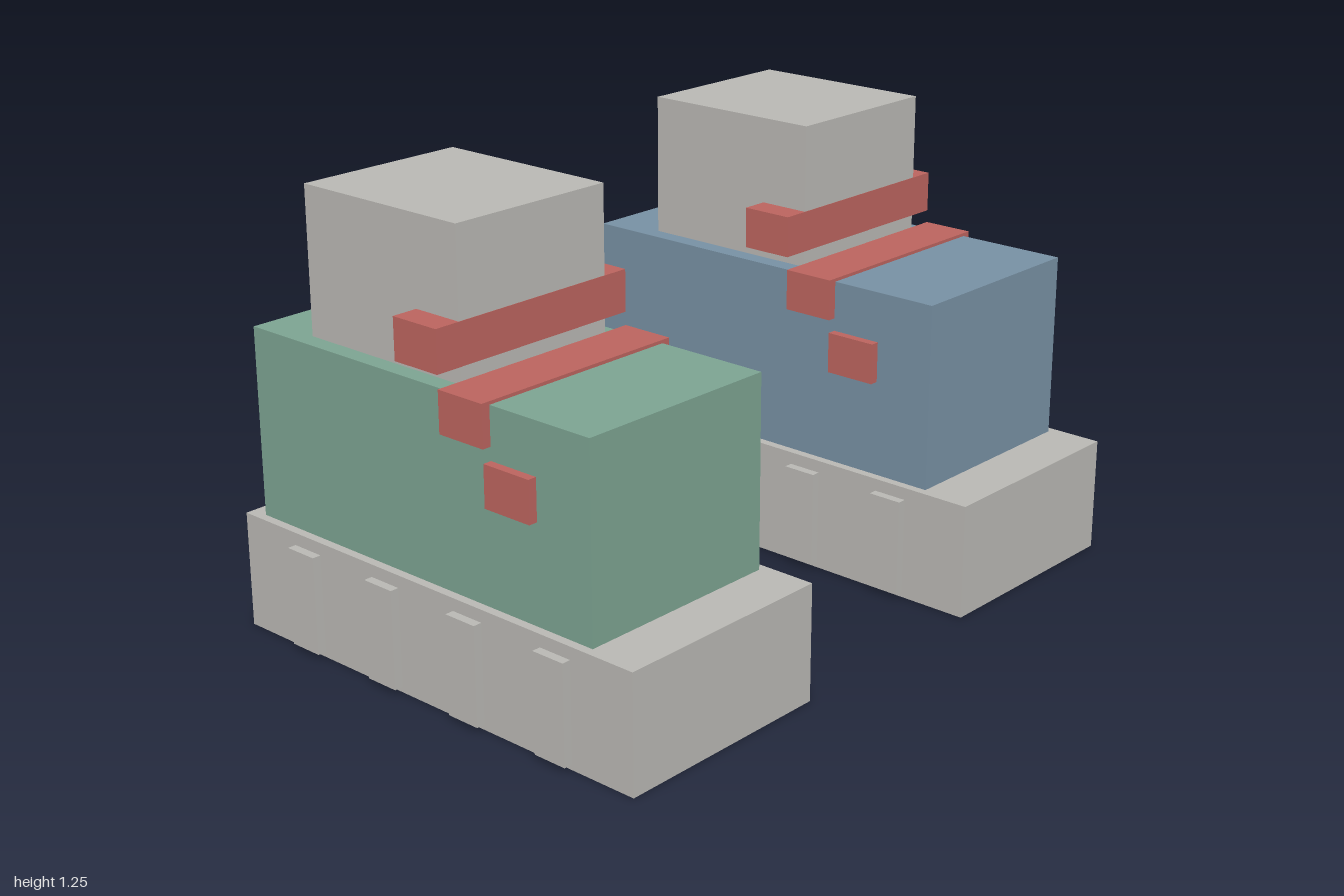
import * as THREE from 'three';

const mat = (name, color) => {
  const m = new THREE.MeshStandardMaterial({ color });
  m.name = name;
  return m;
};

// Box given by its minimum and maximum on each axis
function box(name, material, [x0, x1], [y0, y1], [z0, z1]) {
  const mesh = new THREE.Mesh(new THREE.BoxGeometry(x1 - x0, y1 - y0, z1 - z0), material);
  mesh.position.set((x0 + x1) / 2, (y0 + y1) / 2, (z0 + z1) / 2);
  mesh.name = name;
  return mesh;
}

function createBlock(name, stone, bodyMaterial, red) {
  const g = new THREE.Group();
  g.name = name;

  // Plinth, main body and upper block
  g.add(box('plinth', stone, [-0.325, 0.325], [0, 0.325], [-0.7, 0.7]));
  g.add(box('body', bodyMaterial, [-0.3, 0.3], [0.325, 0.85], [-0.65, 0.55]));
  g.add(box('upperBlock', stone, [-0.25, 0.25], [0.85, 1.25], [-0.475, 0.074]));

  // Ribs along both sides of the plinth
  for (const z of [0.45, 0.15, -0.15, -0.45]) {
    g.add(box('leftRib', stone, [0.32, 0.35], [0.015, 0.29], [z - 0.05, z + 0.05]));
    g.add(box('rightRib', stone, [-0.35, -0.32], [0.015, 0.29], [z - 0.05, z + 0.05]));
  }

  // Cross bars stepping up towards the back
  for (let i = 0; i < 3; i++) {
    const z = 0.3 - i * 0.15, y = 0.652 + i * 0.15;
    g.add(box('crossBar', red, [-0.325, 0.325], [y - 0.057, y + 0.057], [z - 0.075, z + 0.075]));
  }
  return g;
}

export function createModel() {
  const model = new THREE.Group();
  model.name = 'twinBlocks';
  const stone = mat('stone grey', 0xb9b7b3);
  const red = mat('brick red', 0xbb645e);

  const left = createBlock('leftBlock', stone, mat('slate blue', 0x7790a3), red);
  left.position.x = 0.65;
  const right = createBlock('rightBlock', stone, mat('sage green', 0x7ca391), red);
  right.position.x = -0.65;
  model.add(left, right);
  return model;
}
